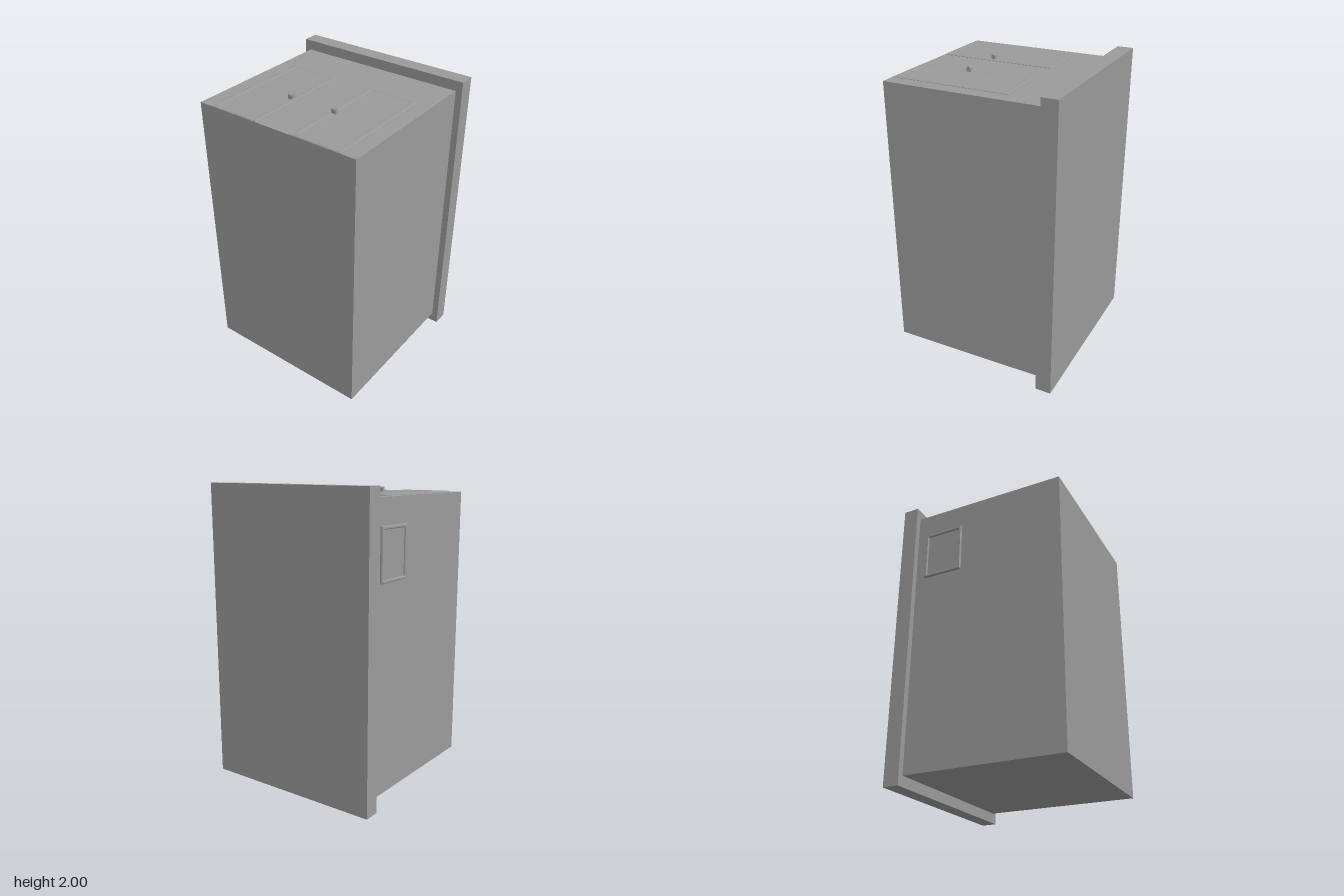
import * as THREE from 'three';

const grey = new THREE.MeshStandardMaterial({ color: 0x9b9b9b, flatShading: true });

function add(parent, name, geometry, x = 0, y = 0, z = 0) {
  const mesh = new THREE.Mesh(geometry, grey);
  mesh.name = name;
  mesh.position.set(x, y, z);
  parent.add(mesh);
  return mesh;
}

// Box given by its low and high corners
function box(parent, name, [x0, y0, z0], [x1, y1, z1]) {
  return add(parent, name, new THREE.BoxGeometry(x1 - x0, y1 - y0, z1 - z0),
    (x0 + x1) / 2, (y0 + y1) / 2, (z0 + z1) / 2);
}

// Rectangular moulding in the XY plane, its rounded edges rising from z = 0 to z = height
function moulding(w, h, border, height, edge) {
  const rect = (Type, a, b) => new Type([[-a, -b], [a, -b], [a, b], [-a, b]]
    .map(([x, y]) => new THREE.Vector2(x / 2, y / 2)));
  const shape = rect(THREE.Shape, w, h);
  shape.holes.push(rect(THREE.Path, w - 2 * border, h - 2 * border));
  return new THREE.ExtrudeGeometry(shape, {
    depth: height, bevelThickness: height, bevelSize: edge, bevelOffset: -edge, bevelSegments: 3,
  }).translate(0, 0, -height);
}

// Door lying in XY, facing +z; side is the direction of the knob
function makeDoor(side) {
  const door = new THREE.Group();
  door.name = side > 0 ? 'rightDoor' : 'leftDoor';
  add(door, 'doorBase', new THREE.BoxGeometry(0.361, 0.798, 0.003), 0, 0, 0.0015);
  add(door, 'doorMoulding', moulding(0.352, 0.788, 0.032, 0.006, 0.005));
  add(door, 'doorPanel', new THREE.BoxGeometry(0.286, 0.726, 0.004), 0, 0, 0.002);

  // Knob: upright tab with a rounded top
  const profile = new THREE.Shape();
  profile.moveTo(-0.013, 0);
  profile.lineTo(0.013, 0);
  profile.absarc(0, 0.025, 0.013, 0, Math.PI);
  const tab = new THREE.ExtrudeGeometry(profile, { depth: 0.034, bevelEnabled: false, curveSegments: 8 });
  tab.translate(0, 0, -0.017).rotateX(Math.PI / 2).rotateZ(Math.PI / 2);
  add(door, 'knob', tab, side * 0.14, -0.036, 0);
  return door;
}

export function createModel() {
  const model = new THREE.Group();
  model.name = 'shed';

  // Main block and the wider slab at the back
  box(model, 'body', [-0.58, 0.07, -0.485], [0.578, 1.933, 0.588]);
  box(model, 'roofSlab', [-0.622, 0, -0.588], [0.622, 2, -0.481]);

  // Two doors on the upper face, knobs towards the middle
  for (const side of [1, -1]) {
    const door = makeDoor(side);
    door.rotation.x = -Math.PI / 2;
    door.position.set(side > 0 ? -0.309 : 0.3, 1.932, 0.187);
    model.add(door);
  }

  // Framed window on the -x wall
  const sideWindow = new THREE.Group();
  sideWindow.name = 'sideWindow';
  add(sideWindow, 'windowFrame', moulding(0.28, 0.34, 0.022, 0.015, 0.005));
  add(sideWindow, 'windowPane', new THREE.BoxGeometry(0.24, 0.3, 0.004), 0, 0, 0.002);
  sideWindow.rotation.y = -Math.PI / 2;
  sideWindow.position.set(-0.58, 1.598, -0.272);
  model.add(sideWindow);

  return model;
}
